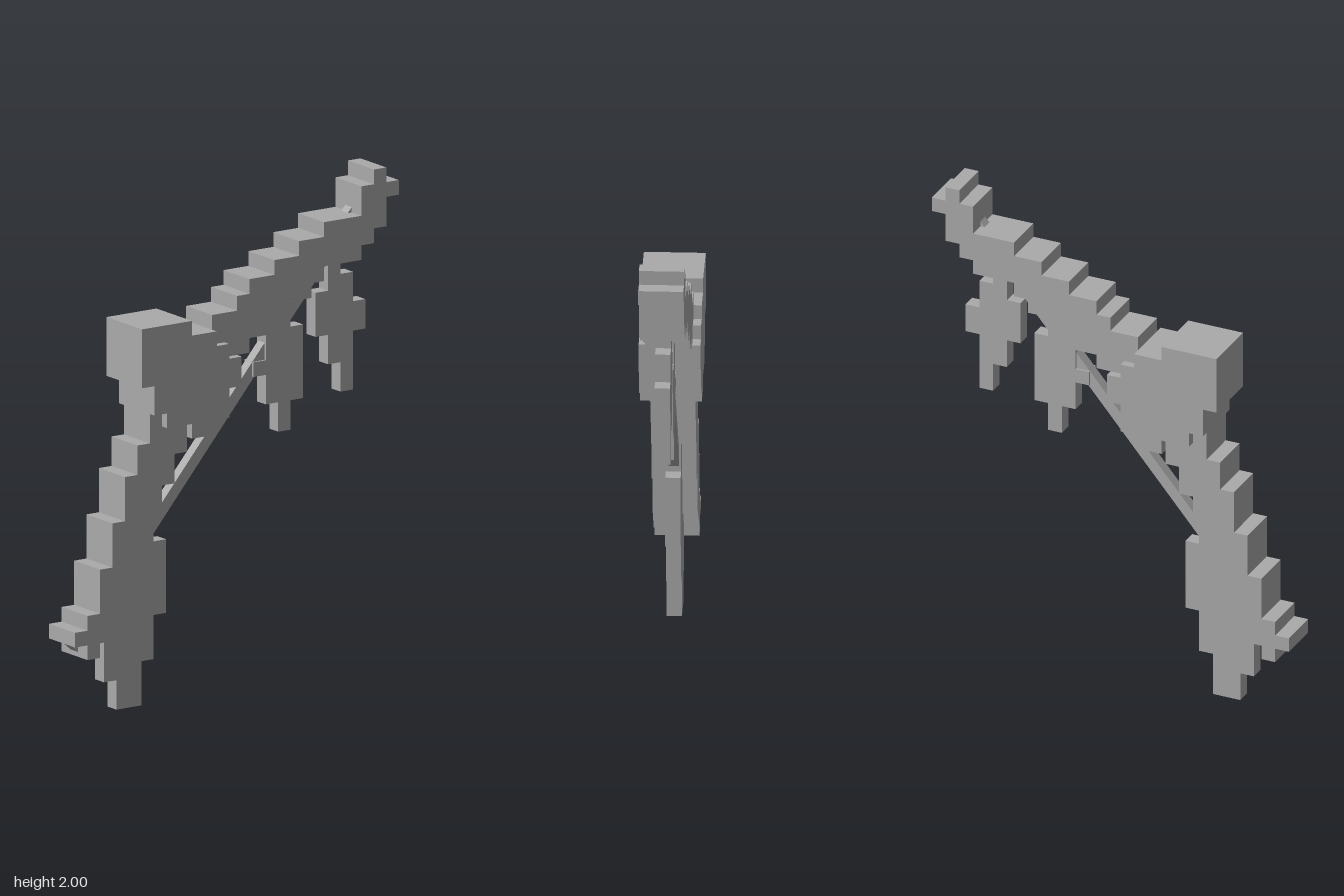
import * as THREE from 'three';

const U = 1 / 17; // size of one block step

// Extrude a stepped silhouette. Rows go upward: [top, left, right] in steps.
function steppedPart(name, bottom, rows, depth, material) {
  const rightSide = [], leftSide = [];
  let y = bottom;
  for (const [top, left, right] of rows) {
    rightSide.push([right, y], [right, top]);
    leftSide.push([left, y], [left, top]);
    y = top;
  }
  const outline = [...rightSide, ...leftSide.reverse()]
    .filter((p, i, all) => i === 0 || p[0] !== all[i - 1][0] || p[1] !== all[i - 1][1])
    .map(([px, py]) => new THREE.Vector2(px * U, py * U));
  const geometry = new THREE.ExtrudeGeometry(new THREE.Shape(outline), { depth, bevelEnabled: false });
  geometry.translate(0, 0, -depth / 2);
  const mesh = new THREE.Mesh(geometry, material);
  mesh.name = name;
  return mesh;
}

export function createModel() {
  const model = new THREE.Group();
  model.name = 'bow';
  const grey = new THREE.MeshStandardMaterial({ color: 0xaaaaaa });
  grey.name = 'grey';
  const limbDepth = 0.175, gripDepth = 0.24, leafDepth = 0.06;

  // Thick grip at the corner of the bow
  model.add(steppedPart('grip', 18, [
    [19, -4, -2], [20, -6, -1], [21, -7, -1], [22, -7, 0],
    [23, -8, 0], [24, -8, -1], [25, -8, -2], [26, -8, -4],
  ], gripDepth, grey));

  // Limbs
  model.add(steppedPart('upperLimb', 23, [
    [24, -1, 1], [25, -2, 3], [26, -2, 4], [27, 0, 6], [28, 1, 7], [29, 3, 10],
    [30, 5, 11], [31, 7, 12], [32, 10, 12], [33, 10, 13], [34, 11, 12],
  ], limbDepth, grey));
  model.add(steppedPart('lowerLimb', 4, [
    [5, -12, -11], [6, -13, -10], [7, -12, -9], [10, -11, -8], [13, -10, -7], [15, -9, -6],
    [16, -9, -5], [17, -8, -5], [18, -8, -4], [19, -7, -4], [20, -7, -6],
  ], limbDepth, grey));

  // Thin hanging leaves
  model.add(steppedPart('outerLeaf', 19, [
    [21, 9, 10], [23, 8, 10], [25, 7, 11], [26, 7, 10], [27, 8, 10], [28, 8, 9],
  ], leafDepth, grey));
  model.add(steppedPart('innerLeaf', 17, [
    [19, 4, 5], [21, 3, 6], [22, 2, 6], [24, 3, 6], [25, 3, 5], [26, 4, 5],
  ], leafDepth, grey));
  model.add(steppedPart('lowerLeaf', 0, [
    [2, -9, -7], [3, -10, -7], [6, -10, -6], [7, -9, -5],
    [10, -8, -5], [11, -7, -5], [13, -7, -6],
  ], leafDepth, grey));

  // Straight string between the limb tips
  const start = new THREE.Vector2(-0.725, 0.27), end = new THREE.Vector2(0.695, 1.935);
  const span = end.clone().sub(start);
  const string = new THREE.Mesh(new THREE.BoxGeometry(span.length(), 0.046, 0.044), grey);
  string.position.set((start.x + end.x) / 2, (start.y + end.y) / 2, 0);
  string.rotation.z = span.angle();
  string.name = 'string';
  model.add(string);

  return model;
}
